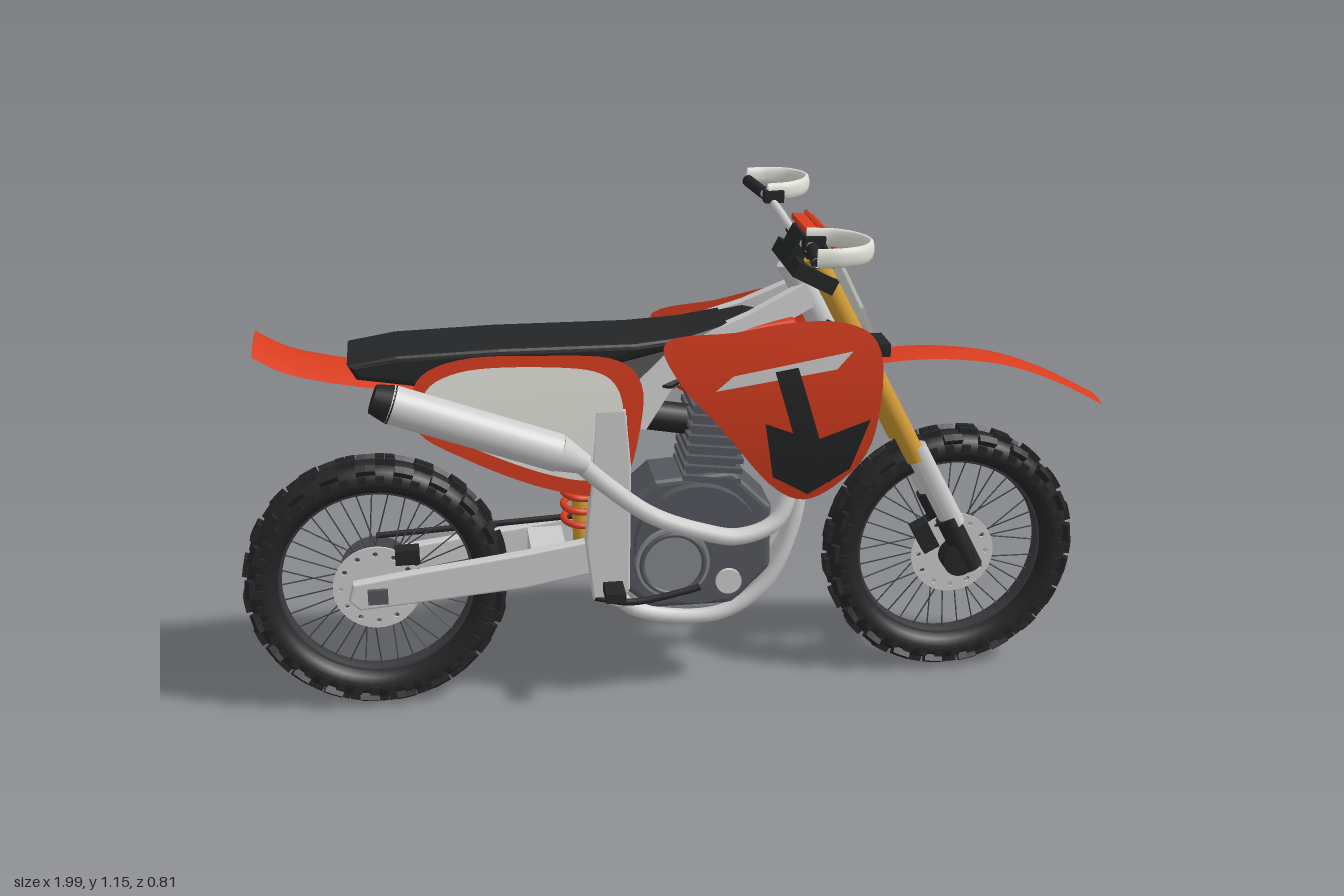
import * as THREE from 'three';
import { mergeGeometries } from 'three/addons/utils/BufferGeometryUtils.js';

const ORANGE = 0xd63c1e, BLACK = 0x242526, GOLD = 0xcf9a33, GREY = 0xcccccc, DARK = 0x55575d, WHITE = 0xe4e4dc;
const V = (p) => new THREE.Vector3(...p);
const mats = {};
const material = (color) => (mats[color] ??= new THREE.MeshStandardMaterial({ color, side: THREE.DoubleSide }));

function add(parent, name, geo, color, pos = [0, 0, 0]) {
  const m = new THREE.Mesh(geo, material(color));
  m.name = name;
  m.position.set(...pos);
  parent.add(m);
  return m;
}
// Cylinder between two points
function rod(a, b, r, r2 = r, sides = 16) {
  const A = V(a), B = V(b), d = B.clone().sub(A);
  const g = new THREE.CylinderGeometry(r2, r, d.length(), sides);
  g.applyQuaternion(new THREE.Quaternion().setFromUnitVectors(V([0, 1, 0]), d.normalize()));
  const c = A.add(B).multiplyScalar(0.5);
  return g.translate(c.x, c.y, c.z);
}
const tube = (pts, r, n = 48) => new THREE.TubeGeometry(new THREE.CatmullRomCurve3(pts.map(V)), n, r, 10);
// Disc standing in the side plane
const disc = (x, y, z, r, depth, n = 36) => new THREE.CylinderGeometry(r, r, depth, n).rotateX(Math.PI / 2).translate(x, y, z);
const box = (w, h, d, x, y, z, tilt = 0) => new THREE.BoxGeometry(w, h, d).rotateZ(tilt).translate(x, y, z);
// Side profile extruded across z
function slab(pts, z, depth, bevel = 0) {
  const s = new THREE.Shape(pts.map((p) => new THREE.Vector2(...p)));
  const g = new THREE.ExtrudeGeometry(s, { depth: depth - 2 * bevel, bevelEnabled: bevel > 0, bevelSize: bevel, bevelThickness: bevel, bevelSegments: 3 });
  return g.translate(0, 0, z - depth / 2 + bevel);
}
// Curved body panel: outline filled by shrinking rings, z given by a rule
function panel(pts, zRule, smooth = true) {
  const flat = pts.map(([x, y]) => V([x, y, 0]));
  const n = smooth ? 60 : flat.length * 8;
  const curve = new THREE.CatmullRomCurve3(flat, true, 'catmullrom', smooth ? 0.5 : 0);
  const loop = Array.from({ length: n }, (_, i) => curve.getPoint(i / n));
  const c = loop.reduce((s, p) => s.add(p), V([0, 0, 0])).divideScalar(n);
  const pos = [], idx = [], rings = 6;
  for (let k = 0; k <= rings; k++) for (const p of loop) {
    const q = c.clone().lerp(p, k / rings);
    pos.push(q.x, q.y, zRule(q.x, q.y));
  }
  for (let k = 0; k < rings; k++) for (let i = 0; i < n; i++) {
    const a = k * n + i, b = k * n + (i + 1) % n;
    idx.push(a, a + n, b, b, a + n, b + n);
  }
  const g = new THREE.BufferGeometry();
  g.setAttribute('position', new THREE.Float32BufferAttribute(pos, 3));
  g.setIndex(idx);
  g.computeVertexNormals();
  return g;
}
// Mudguard following a side curve, crowned across its width
function mudguard(pts, half, crown) {
  const c = new THREE.CatmullRomCurve3(pts.map(([x, y]) => V([x, y, 0])));
  const g = new THREE.PlaneGeometry(1, 2, 30, 8), p = g.attributes.position;
  for (let i = 0; i < p.count; i++) {
    const q = c.getPoint(p.getX(i) + 0.5), t = p.getY(i);
    p.setXYZ(i, q.x, q.y - crown * t * t, -t * half);
  }
  g.computeVertexNormals();
  return g;
}

function wheel(name, x, y) {
  const w = new THREE.Group();
  w.name = name;
  w.position.set(x, y, 0);
  add(w, 'tyre', new THREE.TorusGeometry(0.256, 0.037, 14, 64).scale(1, 1, 1.3), BLACK);
  const knobs = [], spokes = [], N = 42;
  for (let i = 0; i < N; i++) {
    const a = (i / N) * Math.PI * 2;
    const put = (g, turn) => knobs.push(g.rotateZ(a + turn));
    const half = Math.PI / N;
    for (const s of [1, -1]) {
      put(box(0.026, 0.021, 0.016, 0.29, 0, s * 0.012), i % 2 ? half : 0);
      put(new THREE.BoxGeometry(0.026, 0.022, 0.018).rotateY(-s * 0.6).translate(0.28, 0, s * 0.036), i % 2 ? 0 : half);
      put(new THREE.BoxGeometry(0.02, 0.02, 0.01).translate(0.262, 0, s * 0.048), 0);
    }
  }
  for (let i = 0; i < 36; i++) {
    const a = (i / 36) * Math.PI * 2, b = a + (i % 4 < 2 ? 0.5 : -0.5), s = i % 2 ? 1 : -1;
    spokes.push(rod([0.035 * Math.cos(b), 0.035 * Math.sin(b), s * 0.03], [0.222 * Math.cos(a), 0.222 * Math.sin(a), 0], 0.0017, 0.0017, 5));
  }
  add(w, 'tyreKnobs', mergeGeometries(knobs), BLACK);
  add(w, 'spokes', mergeGeometries(spokes), 0x44464a);
  add(w, 'rim', new THREE.TorusGeometry(0.222, 0.007, 8, 64).scale(1, 1, 3.4), 0x3a3b3e);
  add(w, 'hub', disc(0, 0, 0, 0.036, 0.08), BLACK);
  add(w, 'axle', disc(0, 0, 0, 0.014, 0.2, 12), DARK);
  // Brake disc with a ring of cooling holes
  const d = new THREE.Shape().absarc(0, 0, 0.1, 0, Math.PI * 2);
  for (let i = 0; i < 12; i++) d.holes.push(new THREE.Path().absarc(0.082 * Math.cos(i * Math.PI / 6), 0.082 * Math.sin(i * Math.PI / 6), 0.006, 0, Math.PI * 2, true));
  add(w, 'brakeDisc', new THREE.ExtrudeGeometry(d, { depth: 0.005, bevelEnabled: false, curveSegments: 24 }), GREY, [0, 0, 0.042]);
  return w;
}

export function createModel() {
  const bike = new THREE.Group();
  bike.name = 'dirtBike';
  bike.add(wheel('rearWheel', -0.692, 0.309), wheel('frontWheel', 0.66, 0.31));

  // Seat, narrowing over the tank
  const seat = slab([[-0.71, 0.85], [-0.62, 0.862], [-0.4, 0.868], [-0.1, 0.866], [0.02, 0.875], [0.16, 0.905], [0.22, 0.9],
    [0.1, 0.84], [-0.02, 0.78], [-0.12, 0.76], [-0.3, 0.8], [-0.55, 0.81], [-0.7, 0.835]], 0, 0.2, 0.013);
  const sp = seat.attributes.position;
  for (let i = 0; i < sp.count; i++) sp.setZ(i, sp.getZ(i) * (1 - 2.3 * THREE.MathUtils.clamp(sp.getX(i) + 0.02, 0, 0.24)));
  seat.computeVertexNormals();
  add(bike, 'seat', seat, BLACK);
  add(bike, 'rearMudguard', mudguard([[-0.925, 0.905], [-0.86, 0.868], [-0.78, 0.845], [-0.68, 0.825], [-0.5, 0.79], [-0.38, 0.73]], 0.097, 0.02), ORANGE);
  add(bike, 'frontMudguard', mudguard([[0.4, 0.79], [0.5, 0.803], [0.62, 0.803], [0.76, 0.782], [0.88, 0.738], [1, 0.675]], 0.054, 0.007), ORANGE);
  add(bike, 'mudguardMount', box(0.1, 0.03, 0.09, 0.44, 0.82, 0), BLACK);
  add(bike, 'airbox', slab([[-0.5, 0.8], [-0.08, 0.8], [-0.12, 0.68], [-0.2, 0.63], [-0.42, 0.68]], 0, 0.16), BLACK);
  add(bike, 'tank', slab([[0, 0.78], [0.05, 0.86], [0.25, 0.89], [0.3, 0.82], [0.28, 0.74], [0.1, 0.72]], 0, 0.15, 0.02), ORANGE);

  // Mirrored bodywork
  const plate = [[-0.58, 0.82], [-0.48, 0.865], [-0.3, 0.865], [-0.15, 0.85], [-0.09, 0.79], [-0.095, 0.68], [-0.13, 0.56], [-0.19, 0.53], [-0.32, 0.56], [-0.48, 0.635], [-0.585, 0.71]];
  const inner = [[-0.56, 0.8], [-0.47, 0.84], [-0.3, 0.84], [-0.18, 0.82], [-0.135, 0.76], [-0.14, 0.66], [-0.19, 0.575], [-0.3, 0.59], [-0.46, 0.66], [-0.56, 0.72]];
  const shroud = [[-0.035, 0.885], [0.115, 0.905], [0.23, 0.925], [0.34, 0.928], [0.415, 0.895], [0.436, 0.81], [0.415, 0.65], [0.355, 0.56], [0.275, 0.51], [0.195, 0.55], [0.09, 0.68], [-0.005, 0.79]];
  for (const s of [1, -1]) {
    const side = new THREE.Group();
    side.name = s > 0 ? 'leftSide' : 'rightSide';
    bike.add(side);
    const plateZ = (o) => (x, y) => s * (0.114 + o - 0.15 * (y - 0.7) ** 2);
    const shroudZ = (o) => (x, y) => s * (0.128 + o + 0.14 * (x + 0.035) - 0.5 * (y - 0.72) ** 2);
    add(side, 'sidePanel', panel(plate, plateZ(0)), ORANGE);
    add(side, 'numberPlate', panel(inner, plateZ(0.003)), WHITE);
    add(side, 'shroud', panel(shroud, shroudZ(0)), ORANGE);
    add(side, 'shroudStripe', panel([[0.07, 0.775], [0.11, 0.81], [0.37, 0.865], [0.335, 0.825]], shroudZ(0.003), false), GREY);
    add(side, 'shroudVent', panel([[0.18, 0.7], [0.29, 0.66], [0.41, 0.71], [0.37, 0.59], [0.28, 0.525], [0.2, 0.57]], shroudZ(0.003), false), BLACK);
    add(side, 'shroudBar', panel([[0.2, 0.82], [0.25, 0.83], [0.33, 0.56], [0.28, 0.54]], shroudZ(0.006), false), BLACK);
    add(side, 'radiator', box(0.05, 0.23, 0.085, 0.3, 0.67, s * 0.115, 0.12), BLACK);

    // Frame
    add(side, 'frameSpar', slab([[0.29, 0.985], [0.31, 0.93], [0.12, 0.84], [-0.02, 0.77], [-0.08, 0.68], [-0.13, 0.7], [-0.1, 0.79], [0, 0.87], [0.16, 0.925]], 0, 0.03)
      .applyMatrix4(new THREE.Matrix4().makeShear(0, -0.17 * s, 0, 0, 0, 0)).translate(0, 0, s * 0.078), GREY);
    add(side, 'pivotPlate', slab([[-0.19, 0.73], [-0.13, 0.73], [-0.12, 0.6], [-0.125, 0.3], [-0.15, 0.26], [-0.2, 0.28], [-0.215, 0.42], [-0.2, 0.56]], s * 0.1, 0.035, 0.005), GREY);
    add(side, 'cradleTube', tube([[0.31, 0.85, s * 0.02], [0.29, 0.6, s * 0.045], [0.27, 0.42, s * 0.06], [0.2, 0.27, s * 0.07], [0.1, 0.205, s * 0.07], [-0.03, 0.205, s * 0.07], [-0.12, 0.24, s * 0.08], [-0.16, 0.3, s * 0.095]], 0.018), GREY);
    add(side, 'subframeTube', rod([-0.1, 0.74, s * 0.08], [-0.58, 0.8, s * 0.075], 0.012), GREY);
    add(side, 'swingarm', slab([[-0.74, 0.335], [-0.6, 0.355], [-0.36, 0.385], [-0.13, 0.42], [-0.13, 0.35], [-0.36, 0.31], [-0.6, 0.29], [-0.73, 0.28], [-0.75, 0.3]], s * 0.079, 0.03, 0.005), GREY);
    add(side, 'axleBlock', box(0.045, 0.035, 0.012, -0.69, 0.31, s * 0.098), DARK);
    add(side, 'footPeg', box(0.045, 0.022, 0.08, -0.16, 0.31, s * 0.15), BLACK);

    // Fork leg
    const f = (y, off = 0) => [0.29 + (1.07 - y) * 0.521 + off, y, s * 0.086];
    add(side, 'forkTube', rod(f(1.06), f(0.57), 0.024), GOLD);
    add(side, 'forkSlider', rod(f(0.62), f(0.36), 0.019), GREY);
    add(side, 'forkGuard', rod(f(0.6, 0.012), f(0.4, 0.012), 0.024, 0.024, 8), GREY);
    add(side, 'forkFoot', rod(f(0.42), f(0.29), 0.027), BLACK);
    add(side, 'axleClamp', disc(0.66, 0.315, s * 0.085, 0.038, 0.05), BLACK);
    add(side, 'forkCap', rod(f(1.06), f(1.085), 0.017), BLACK);

    // Handlebar half, grip, levers and hand guard
    add(side, 'handlebar', tube([[0.28, 1.08, 0], [0.28, 1.08, s * 0.1], [0.27, 1.1, s * 0.18], [0.255, 1.12, s * 0.24], [0.235, 1.125, s * 0.39]], 0.01), GREY);
    add(side, 'grip', rod([0.254, 1.12, s * 0.26], [0.236, 1.125, s * 0.385], 0.014), BLACK);
    add(side, 'leverClamp', box(0.045, 0.028, 0.035, 0.265, 1.125, s * 0.22), BLACK);
    add(side, 'lever', rod([0.285, 1.12, s * 0.22], [0.275, 1.11, s * 0.36], 0.006), BLACK);
    add(side, 'handGuard', tube([[0.235, 0, s * 0.393], [0.285, 0, s * 0.395], [0.335, 0, s * 0.375], [0.363, 0, s * 0.32], [0.345, 0, s * 0.265], [0.305, 0, s * 0.228], [0.25, 0, s * 0.215]], 0.007)
      .scale(1, 2.9, 1).translate(0, 1.135, 0), WHITE);
  }

  // Steering head and clamps
  add(bike, 'steeringHead', rod([0.345, 0.87, 0], [0.26, 1.03, 0], 0.032), GREY);
  add(bike, 'lowerClamp', box(0.1, 0.03, 0.24, 0.38, 0.86, 0, -0.48), BLACK);
  add(bike, 'upperClamp', box(0.1, 0.035, 0.24, 0.295, 1.015, 0, -0.48), BLACK);
  add(bike, 'barMount', box(0.045, 0.07, 0.1, 0.28, 1.06, 0, -0.48), BLACK);

  // Front number plate leaning back with the forks
  const faceShape = (pts, z) => slab(pts, z, 0.008).rotateY(Math.PI / 2).rotateZ(0.463).translate(0.44, 0.87, 0);
  add(bike, 'frontNumberPlate', faceShape([[-0.055, 0], [0.055, 0], [0.105, 0.08], [0.116, 0.235], [-0.116, 0.235], [-0.105, 0.08]], 0), WHITE);
  add(bike, 'frontPlateCap', faceShape([[-0.116, 0.23], [0.116, 0.23], [0.116, 0.272], [-0.116, 0.272]], 0), ORANGE);
  add(bike, 'frontPlateCapTop', box(0.05, 0.012, 0.23, 0.312, 1.1, 0, -0.1), ORANGE);

  // Engine
  const engine = new THREE.Group();
  engine.name = 'engine';
  bike.add(engine);
  add(engine, 'crankcase', slab([[-0.13, 0.46], [-0.05, 0.53], [0.12, 0.54], [0.2, 0.46], [0.2, 0.32], [0.12, 0.24], [-0.06, 0.24], [-0.13, 0.3]], 0, 0.15, 0.015), DARK);
  for (const s of [1, -1]) {
    add(engine, 'sideCover', disc(0.04, 0.39, s * 0.082, 0.145, 0.04), DARK);
    add(engine, 'clutchCover', disc(-0.02, 0.355, s * 0.1, 0.085, 0.03), s > 0 ? 0x85878c : 0x6a6c72);
    add(engine, 'clutchRing', new THREE.TorusGeometry(0.072, 0.006, 8, 40), DARK, [-0.02, 0.355, s * 0.116]);
    add(engine, 'pumpCover', disc(0.11, 0.3, s * 0.1, 0.03, 0.025), GREY);
  }
  const top = [];
  for (let i = 0; i < 8; i++) top.push(box(0.135, 0.012, 0.15, 0.075 + i * 0.003, 0.54 + i * 0.024, 0, -0.12));
  add(engine, 'coolingFins', mergeGeometries(top), DARK);
  add(engine, 'cylinder', box(0.11, 0.22, 0.12, 0.085, 0.63, 0, -0.12), DARK);
  add(engine, 'cylinderHead', box(0.12, 0.05, 0.13, 0.1, 0.755, 0, -0.12), 0x3c3e42);
  add(engine, 'carburettor', rod([0.05, 0.66, 0], [-0.12, 0.69, 0], 0.035), BLACK);
  add(engine, 'gearLever', rod([-0.02, 0.33, -0.12], [0.1, 0.34, -0.13], 0.008), BLACK);
  add(engine, 'brakePedal', tube([[-0.2, 0.28, 0.11], [-0.12, 0.27, 0.125], [0, 0.29, 0.13], [0.04, 0.3, 0.13]], 0.008), BLACK);

  // Exhaust on the left side
  add(bike, 'exhaustPipe', tube([[0.13, 0.68, 0.02], [0.22, 0.65, 0.05], [0.255, 0.56, 0.085], [0.22, 0.45, 0.115], [0.13, 0.42, 0.13], [0.04, 0.44, 0.135], [-0.07, 0.485, 0.135], [-0.17, 0.565, 0.145], [-0.25, 0.645, 0.16]], 0.02, 80), GREY);
  add(bike, 'mufflerCone', rod([-0.22, 0.625, 0.157], [-0.285, 0.66, 0.163], 0.022, 0.043, 24), GREY);
  add(bike, 'muffler', rod([-0.28, 0.658, 0.163], [-0.64, 0.79, 0.163], 0.043, 0.043, 28), GREY);
  add(bike, 'mufflerTip', rod([-0.635, 0.788, 0.163], [-0.675, 0.803, 0.163], 0.044, 0.032, 24), BLACK);

  // Rear shock with coil spring
  const coil = Array.from({ length: 73 }, (_, i) => [-0.225 + 0.034 * Math.cos(i * Math.PI / 6), 0.42 + i * 0.0028, 0.034 * Math.sin(i * Math.PI / 6)]);
  add(bike, 'shockSpring', tube(coil, 0.008, 220), ORANGE);
  add(bike, 'shockBody', rod([-0.22, 0.36, 0], [-0.225, 0.72, 0], 0.018), GOLD);
  add(bike, 'swingarmBridge', box(0.08, 0.06, 0.15, -0.3, 0.36, 0), GREY);

  // Chain drive on the right, rear brake caliper on the left
  add(bike, 'rearSprocket', disc(-0.692, 0.309, -0.055, 0.085, 0.006), DARK);
  for (const [a, b] of [[0.395, 0.42], [0.225, 0.32]]) add(bike, 'chainRun', rod([-0.69, a, -0.055], [-0.16, b, -0.055], 0.007, 0.007, 6), BLACK);
  add(bike, 'chainGuide', box(0.06, 0.04, 0.02, -0.5, 0.265, -0.055, 0.15), BLACK);
  add(bike, 'rearCaliper', box(0.055, 0.035, 0.04, -0.62, 0.39, 0.055), BLACK);
  add(bike, 'frontCaliper', box(0.04, 0.07, 0.04, 0.585, 0.365, 0.06, 0.48), BLACK);
  return bike;
}
